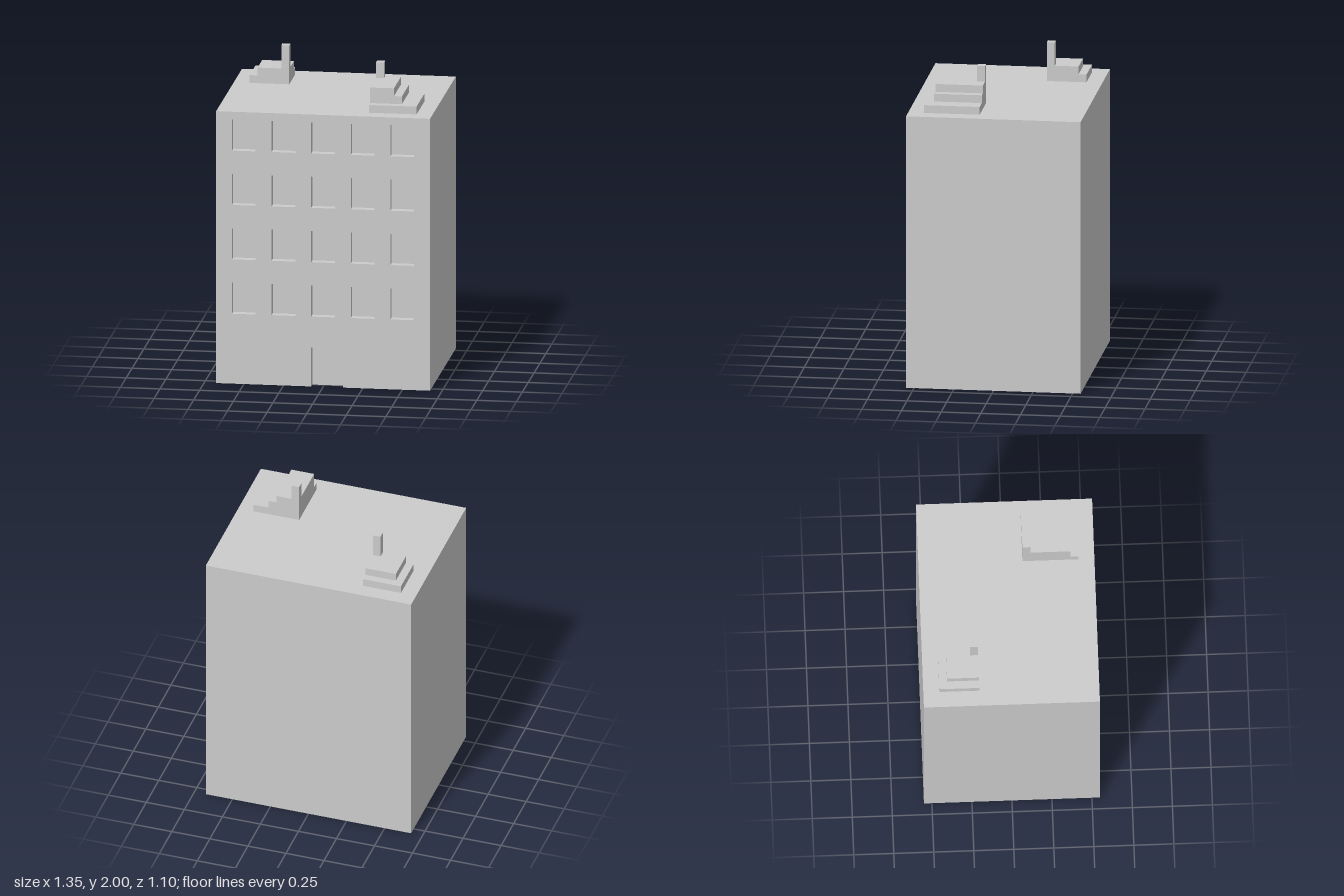
import * as THREE from 'three';

const W = 1.35, D = 1.1, H = 1.75, RECESS = 0.05;
const material = new THREE.MeshStandardMaterial({ color: 0xcccccc, flatShading: true });

// Box given by its min and max corners
function block(name, [x0, y0, z0], [x1, y1, z1]) {
  const mesh = new THREE.Mesh(new THREE.BoxGeometry(x1 - x0, y1 - y0, z1 - z0), material);
  mesh.position.set((x0 + x1) / 2, (y0 + y1) / 2, (z0 + z1) / 2);
  mesh.name = name;
  return mesh;
}

const polygon = (points) => points.map(([x, y]) => new THREE.Vector2(x, y));

// Front wall layer: door notch in the outline, a grid of window holes
function facade() {
  const shape = new THREE.Shape(polygon([
    [-W / 2, 0], [-0.075, 0], [-0.075, 0.25], [0.125, 0.25], [0.125, 0],
    [W / 2, 0], [W / 2, H], [-W / 2, H],
  ]));
  for (let row = 0; row < 4; row++) {
    for (let col = -2; col <= 2; col++) {
      const x = col * 0.25, y = 0.45 + row * 0.35;
      shape.holes.push(new THREE.Path(polygon([
        [x - 0.075, y], [x - 0.075, y + 0.2], [x + 0.075, y + 0.2], [x + 0.075, y],
      ])));
    }
  }
  const geometry = new THREE.ExtrudeGeometry(shape, { depth: RECESS, bevelEnabled: false });
  const mesh = new THREE.Mesh(geometry, material);
  mesh.position.z = D / 2 - RECESS;
  mesh.name = 'facade';
  return mesh;
}

// Stepped roof block: tiers [x0, x1, z0, z1, top] stacked upwards, the last one a post
function roofStack(name, tiers) {
  const group = new THREE.Group();
  group.name = name;
  let y = H;
  tiers.forEach(([x0, x1, z0, z1, top], i) => {
    const part = i === tiers.length - 1 ? 'post' : `tier${i + 1}`;
    group.add(block(part, [x0, y, z0], [x1, top, z1]));
    y = top;
  });
  return group;
}

export function createModel() {
  const model = new THREE.Group();
  model.name = 'building';
  model.add(block('buildingBody', [-W / 2, 0, -D / 2], [W / 2, H, D / 2 - RECESS]));
  model.add(facade());

  model.add(roofStack('rearRoofStack', [
    [-0.575, -0.325, -0.45, -0.2, 1.8],
    [-0.525, -0.325, -0.4, -0.2, 1.85],
    [-0.375, -0.325, -0.25, -0.2, 2],
  ]));
  model.add(roofStack('frontRoofStack', [
    [0.275, 0.575, 0.1, 0.45, 1.8],
    [0.275, 0.475, 0.1, 0.4, 1.85],
    [0.275, 0.425, 0.1, 0.4, 1.9],
    [0.275, 0.325, 0.1, 0.15, 2],
  ]));
  return model;
}
